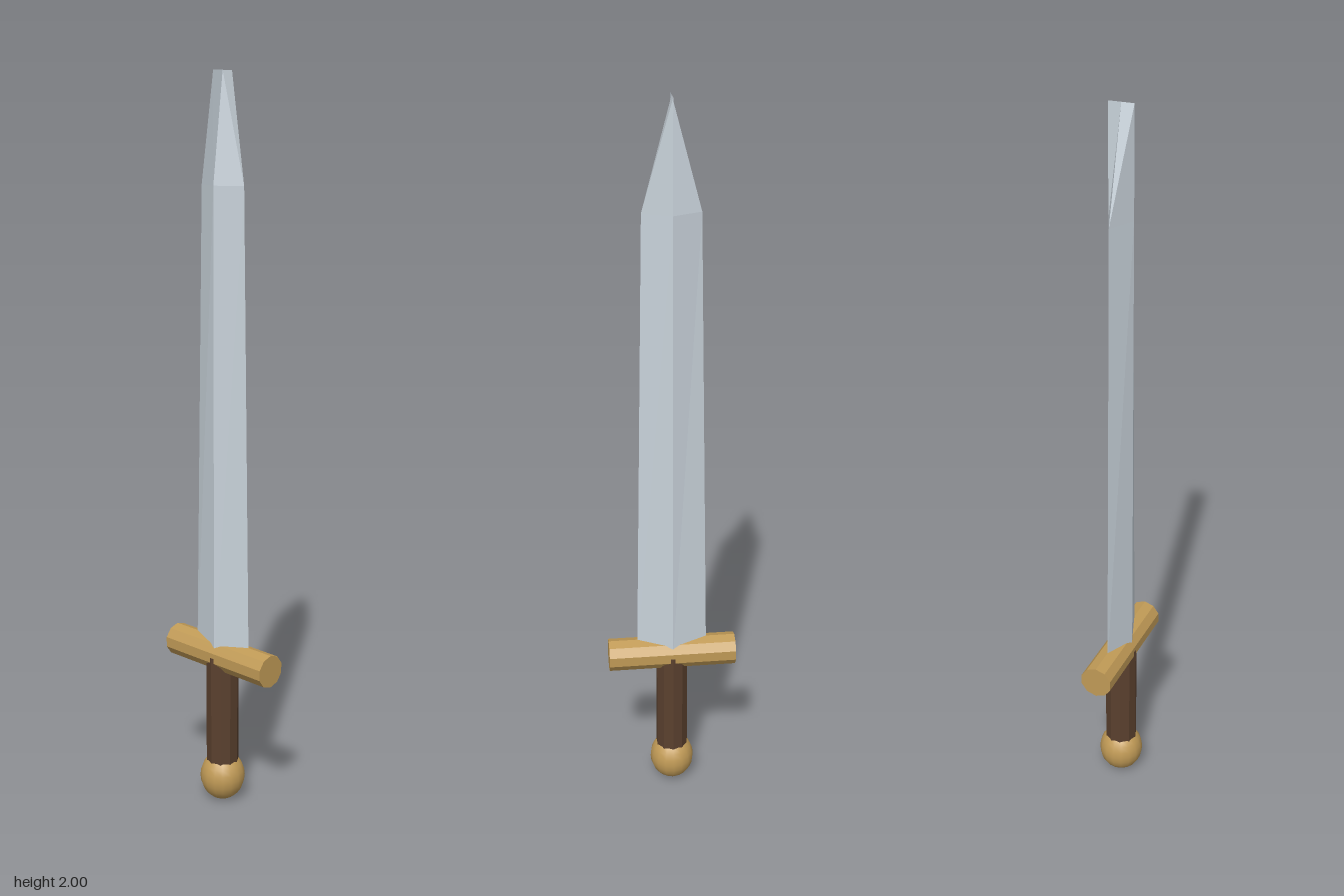
import * as THREE from 'three';

const steel = new THREE.MeshStandardMaterial({ color: 0xc8d2da, flatShading: true });
const brass = new THREE.MeshStandardMaterial({ color: 0xc09a56, flatShading: true });
const brassSmooth = new THREE.MeshStandardMaterial({ color: 0xc09a56 });
const leather = new THREE.MeshStandardMaterial({ color: 0x5a402e, flatShading: true });

function part(group, name, geometry, material, y) {
  const mesh = new THREE.Mesh(geometry, material);
  mesh.name = name;
  mesh.position.y = y;
  group.add(mesh);
  return mesh;
}

// Diamond section that tapers in width only, ending in an edge as thick as the ridge
function bladeGeometry() {
  const rows = [
    { y: 0.433, halfWidth: 0.099 },
    { y: 1.715, halfWidth: 0.076 },
    { y: 2.0, halfWidth: 0 },
  ];
  const geometry = new THREE.CylinderGeometry(1, 1, 2, 4, 2, true);
  const pos = geometry.attributes.position;
  for (let i = 0; i < pos.count; i++) {
    const row = rows[Math.round(pos.getY(i)) + 1];
    pos.setXYZ(i, pos.getX(i) * row.halfWidth, row.y, pos.getZ(i) * 0.034);
  }
  geometry.computeVertexNormals();
  return geometry;
}

export function createModel() {
  const sword = new THREE.Group();
  sword.name = 'sword';

  part(sword, 'blade', bladeGeometry(), steel, 0);

  // Crossguard: ten-sided bar lying along x, one corner on top
  const guard = new THREE.CylinderGeometry(0.0455, 0.0455, 0.36, 10);
  guard.rotateY(Math.PI / 2).rotateZ(Math.PI / 2);
  part(sword, 'crossguard', guard, brass, 0.433);

  // Grip runs from inside the pommel to the middle of the crossguard
  part(sword, 'grip', new THREE.CylinderGeometry(0.0455, 0.0455, 0.363, 10), leather, 0.2515);

  // Slightly tall round pommel
  const pommel = part(sword, 'pommel', new THREE.SphereGeometry(0.063, 16, 12), brassSmooth, 0.07);
  pommel.scale.y = 0.07 / 0.063;

  return sword;
}
